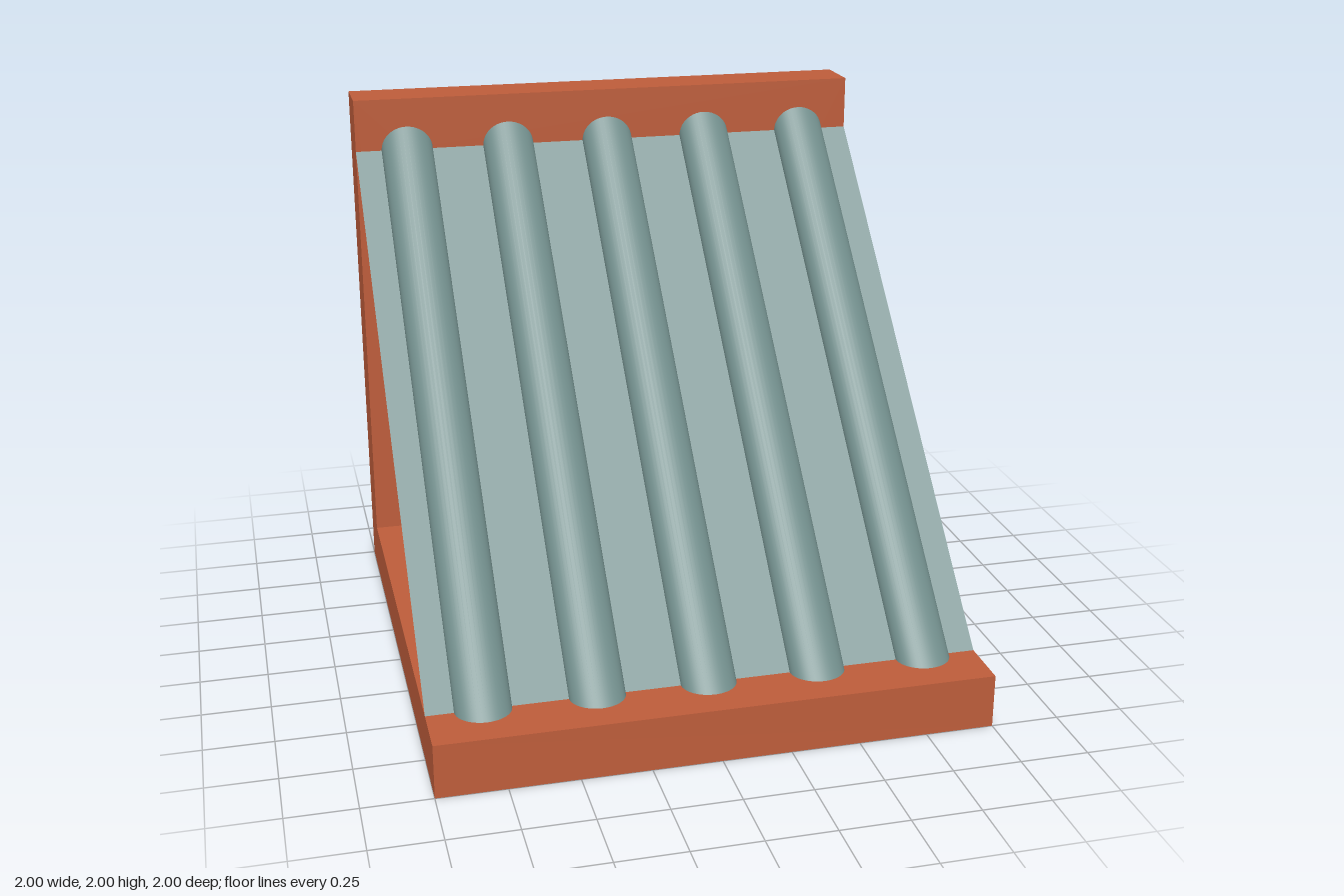
import * as THREE from 'three';

const frameMat = new THREE.MeshStandardMaterial({ color: 0xbc5c3a });
const panelMat = new THREE.MeshStandardMaterial({ color: 0x708c8a });
const sheetMat = new THREE.MeshStandardMaterial({ color: 0x708c8a, side: THREE.DoubleSide });

const shapeOf = pts => new THREE.Shape(pts.map(([x, y]) => new THREE.Vector2(x, y)));

function add(group, name, geometry, material) {
  const mesh = new THREE.Mesh(geometry, material);
  mesh.name = name;
  group.add(mesh);
  return mesh;
}

// Elliptical rib leaning at 45 degrees: horizontal cut at the foot, vertical cut at the head
function ribGeometry() {
  const geo = new THREE.CylinderGeometry(0.1, 0.1, 1, 40, 1);
  geo.rotateY(Math.PI / 2); // seam lies beside the sheet
  const p = geo.attributes.position;
  for (let i = 0; i < p.count; i++) {
    const s = p.getZ(i) * 0.9;
    if (p.getY(i) < 0) p.setXYZ(i, p.getX(i), 0.2, 0.8 + s);
    else p.setXYZ(i, p.getX(i), 1.8 + s, -0.8);
  }
  geo.computeVertexNormals();
  return geo;
}

export function createModel() {
  const model = new THREE.Group();
  model.name = 'slantedPanelFrame';
  const extrude = { depth: 0.2, bevelEnabled: false };

  // Base frame: the rail on +x is half as wide as the others
  const base = shapeOf([[-1, -1], [1, -1], [1, 1], [-1, 1]]);
  base.holes.push(shapeOf([[-0.8, -0.8], [-0.8, 0.8], [0.9, 0.8], [0.9, -0.8]]));
  const baseGeo = new THREE.ExtrudeGeometry(base, extrude);
  baseGeo.rotateX(-Math.PI / 2);
  add(model, 'baseFrame', baseGeo, frameMat);

  // Back frame: two posts and a top rail standing on the base
  const back = shapeOf([
    [-1, 0.2], [-0.8, 0.2], [-0.8, 1.8], [0.9, 1.8],
    [0.9, 0.2], [1, 0.2], [1, 2], [-1, 2],
  ]);
  const backGeo = new THREE.ExtrudeGeometry(back, extrude);
  backGeo.translate(0, 0, -1);
  add(model, 'backFrame', backGeo, frameMat);

  // Thin sheet from the front rail to the top rail
  const sheetGeo = new THREE.PlaneGeometry(2, 1.6 * Math.SQRT2);
  sheetGeo.rotateX(-Math.PI / 4);
  sheetGeo.translate(0, 1, 0);
  add(model, 'slopingSheet', sheetGeo, sheetMat);

  // Five ribs along the slope
  const ribs = new THREE.Group();
  ribs.name = 'ribs';
  const ribGeo = ribGeometry();
  for (let i = -2; i <= 2; i++) {
    add(ribs, `rib${i + 3}`, ribGeo, panelMat).position.x = i * 0.4;
  }
  model.add(ribs);

  return model;
}
